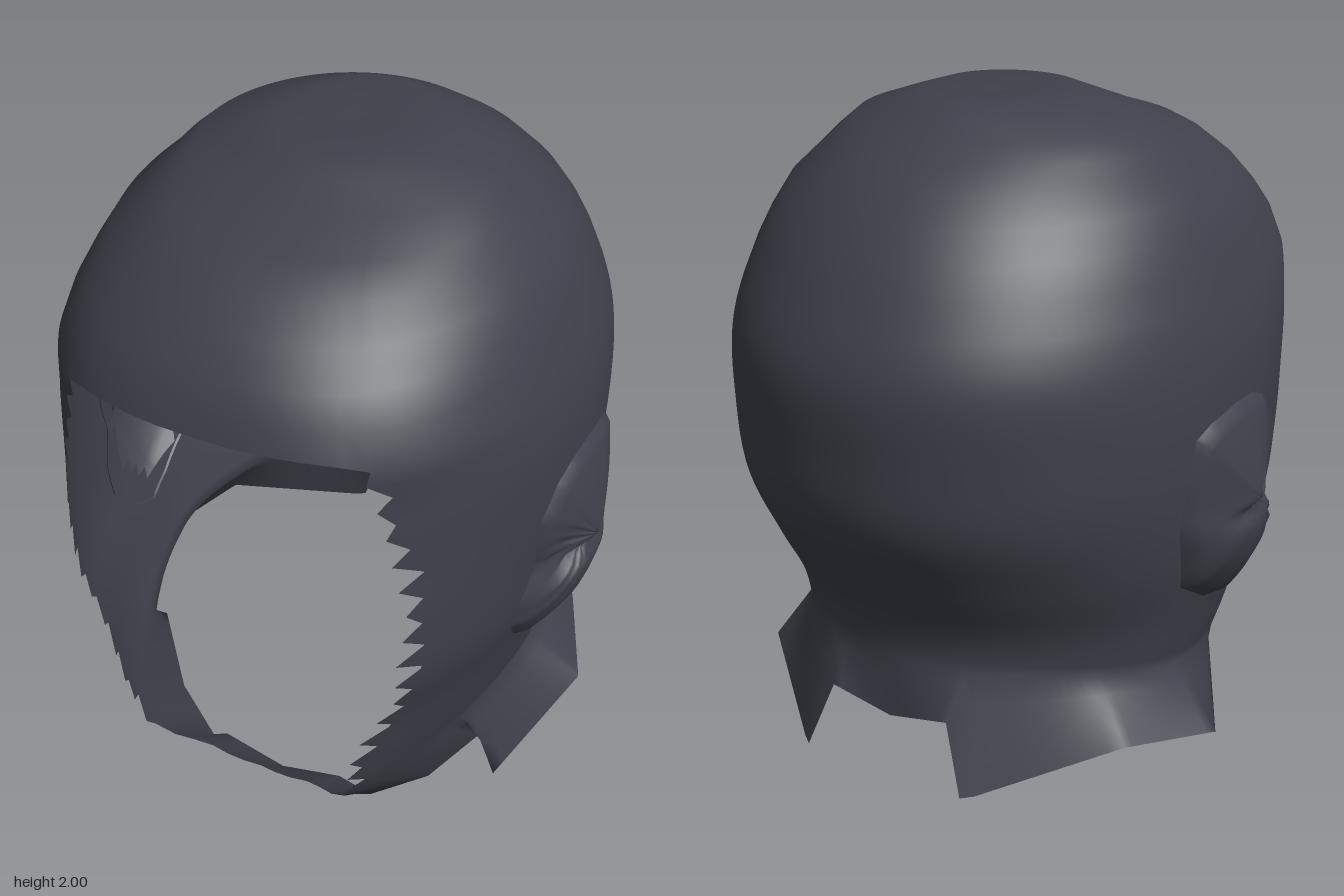
import * as THREE from 'three';

const material = new THREE.MeshStandardMaterial({ color: 0x3e414b, side: THREE.DoubleSide });
const { lerp, radToDeg, smoothstep } = THREE.MathUtils;

// Linear lookup in rows of [key, value, value...] with rising keys
function lookup(table, key) {
  let i = 1;
  while (i < table.length - 1 && key > table[i][0]) i++;
  const a = table[i - 1], b = table[i];
  const t = Math.min(1, Math.max(0, (key - a[0]) / (b[0] - a[0])));
  return a.slice(1).map((v, k) => lerp(v, b[k + 1], t));
}

// The same lookup with a smooth curve through the rows
function smoothLookup(table, key) {
  let i = 1;
  while (i < table.length - 1 && key > table[i][0]) i++;
  const a = table[i - 1], b = table[i];
  const before = table[Math.max(0, i - 2)], after = table[Math.min(table.length - 1, i + 1)];
  const d = b[0] - a[0], t = Math.min(1, Math.max(0, (key - a[0]) / d));
  return a.slice(1).map((v, n) => {
    const k = n + 1;
    const m0 = d * (b[k] - before[k]) / (b[0] - before[0]);
    const m1 = d * (after[k] - a[k]) / (after[0] - a[0]);
    const e = t * t * (3 - 2 * t);
    return lerp(v, b[k], e) + t * (1 - t) * ((1 - t) * m0 - t * m1);
  });
}

// Head sections: y, half width, front depth, back depth, squareness of front and back
const SECTIONS = [
  [0.10, 0.46, 0.50, 0.61, 2, 1.85], [0.17, 0.48, 0.57, 0.61, 1.95, 1.85], [0.27, 0.52, 0.85, 0.605, 1.8, 1.85],
  [0.43, 0.58, 0.92, 0.595, 1.8, 1.85], [0.62, 0.63, 0.93, 0.60, 1.9, 1.9], [0.80, 0.675, 0.97, 0.69, 2, 2],
  [1.00, 0.697, 0.98, 0.795, 2, 2.08], [1.20, 0.71, 0.91, 0.822, 2.1, 2.08], [1.40, 0.70, 0.84, 0.825, 2.35, 2.08],
  [1.56, 0.66, 0.82, 0.765, 2.55, 2.08], [1.69, 0.61, 0.755, 0.69, 2.35, 2.05], [1.77, 0.57, 0.68, 0.63, 2.2, 2],
  [1.84, 0.495, 0.59, 0.56, 2.15, 2], [1.885, 0.455, 0.49, 0.49, 2.1, 2], [1.93, 0.405, 0.345, 0.42, 2, 2],
  [2.00, 0.19, 0.17, 0.28, 2, 2],
];
// Half width of the face opening by height
const OPENING = [[0.27, 0.31], [0.33, 0.345], [0.45, 0.36], [0.6, 0.42], [0.72, 0.475], [0.85, 0.505], [1.05, 0.515],
  [1.2, 0.5], [1.38, 0.45], [1.5, 0.43], [1.56, 0.4]];
// Height of the neck crease by angle from the front
const NECK = [[0, 0.17], [22, 0.19], [32, 0.225], [39, 0.27], [60, 0.35], [90, 0.43], [140, 0.52], [180, 0.55]];
// Torn hem: angle from the front, x, y, z
const HEM = [
  [0, 0, 0.04, 0.44], [25.9, 0.19, 0.09, 0.44], [32.4, 0.27, 0, 0.39], [47.4, 0.42, 0.075, 0.31],
  [67.1, 0.55, 0.22, 0.18], [69.9, 0.59, 0.08, 0.22], [92.5, 0.73, 0.28, -0.08], [123.5, 0.60, 0.33, -0.36],
  [154.5, 0.26, 0.2, -0.65], [157.4, 0.19, 0.4, -0.61], [180, 0, 0.36, -0.605],
];

function shellPoint(phi, y) {
  const [w, front, back, nFront, nBack] = smoothLookup(SECTIONS, y);
  const c = Math.cos(phi), p = 2 / (c > 0 ? nFront : nBack);
  const x = w * Math.pow(Math.abs(Math.sin(phi)), p);
  const z = Math.pow(Math.abs(c), p) * (c > 0 ? front : -back);
  return new THREE.Vector3(x, y, z);
}

function shellX(y, z) {
  const [w, front, back, nFront, nBack] = smoothLookup(SECTIONS, y);
  const n = z > 0 ? nFront : nBack;
  return w * Math.pow(1 - Math.pow(Math.abs(z) / (z > 0 ? front : back), n), 1 / n);
}

function edgeAngle(y, jag = 0) {
  const x = lookup(OPENING, y)[0] + jag;
  const [w, , , nFront] = smoothLookup(SECTIONS, y);
  return Math.asin(Math.pow(x / w, nFront / 2));
}

function makeMesh(name, positions, index) {
  const g = new THREE.BufferGeometry();
  g.setAttribute('position', new THREE.Float32BufferAttribute(positions, 3));
  g.setIndex(index);
  g.computeVertexNormals();
  const mesh = new THREE.Mesh(g, material);
  mesh.name = name;
  return mesh;
}

// Hood: crown, face band with a ragged opening, and flared collar in one skin
function createHood() {
  const FRONT = 6, SIDE = 50, HALF = FRONT + SIDE, COLS = HALF * 2;
  const CROWN = [2, 1.97, 1.93, 1.885, 1.84, 1.77, 1.69, 1.62];
  const BAND = 30, COLLAR = 4;
  const brow = CROWN.length + 1, neck = brow + BAND, last = neck + COLLAR;

  const angleAt = (h, edge) => h <= FRONT ? edge * h / FRONT : lerp(edge, Math.PI, (h - FRONT) / SIDE);

  function vertex(i, column) {
    if (i === 0) return new THREE.Vector3(0, 1.985, -0.05);
    if (i < brow) return shellPoint(angleAt(column, edgeAngle(1.53)), CROWN[i - 1]);
    const inBand = i > brow && i < neck;
    const h = inBand ? Math.max(column, FRONT) : column;
    const t = Math.min(1, (i - brow) / BAND);
    const yEdge = lerp(1.525, 0.27, t);
    const ragged = h === FRONT && inBand;
    const jag = (i % 2 ? 0.02 : -0.018) + 0.006 * Math.sin(i * 2.3);
    const phi = ragged ? edgeAngle(yEdge, jag) : angleAt(h, edgeAngle(yEdge));
    const browY = 1.525 + 0.03 * (1 - Math.pow(Math.min(1, h / FRONT), 4));
    const neckY = ragged ? 0.27 : lookup(NECK, radToDeg(phi))[0];
    const point = shellPoint(phi, lerp(browY, neckY, t));
    if (i > neck) point.lerp(new THREE.Vector3(...lookup(HEM, radToDeg(phi))), (i - neck) / COLLAR);
    return point;
  }

  const positions = [], index = [];
  for (let i = 0; i <= last; i++) {
    for (let j = 0; j < COLS; j++) {
      const p = vertex(i, j <= HALF ? j : COLS - j);
      positions.push(j <= HALF ? p.x : -p.x, p.y, p.z);
    }
  }
  for (let i = 0; i < last; i++) {
    for (let j = 0; j < COLS; j++) {
      const k = (j + 1) % COLS;
      const a = i * COLS + j, b = a + COLS, c = (i + 1) * COLS + k, d = i * COLS + k;
      const inFace = i >= brow && i < neck && (j < FRONT || j >= COLS - FRONT);
      // the skin is open behind each ear cover
      const y = (positions[a * 3 + 1] + positions[c * 3 + 1]) / 2;
      const z = (positions[a * 3 + 2] + positions[c * 3 + 2]) / 2;
      const behindEar = ((z - 0.025) / 0.18) ** 2 + ((y - 0.93) / 0.26) ** 2 < 1;
      if (inFace || behindEar) continue;
      index.push(a, b, c);
      if (i > 0) index.push(a, c, d);
    }
  }
  return makeMesh('hoodShell', positions, index);
}

// Ear cover: a padded patch, peaked in the middle and gathered into creases
const EAR_RIM = [[-0.215, 0.92], [-0.215, 1.06], [-0.195, 1.19], [-0.13, 1.22], [0, 1.24], [0.1, 1.235], [0.18, 1.205],
  [0.245, 1.12], [0.25, 1.03], [0.235, 0.95], [0.28, 0.84], [0.285, 0.75], [0.22, 0.66], [0.1, 0.605], [0, 0.64], [-0.15, 0.73]];

function createEar(side) {
  const RINGS = 12, SEGS = 64, cz = 0.04, cy = 0.96;
  const positions = [], index = [];
  for (let r = 0; r <= RINGS; r++) {
    const f = r / RINGS;
    for (let s = 0; s < SEGS; s++) {
      const q = s / SEGS * EAR_RIM.length, k = Math.floor(q);
      const a = EAR_RIM[k], b = EAR_RIM[(k + 1) % EAR_RIM.length];
      const z = lerp(cz, lerp(a[0], b[0], q - k), f), y = lerp(cy, lerp(a[1], b[1], q - k), f);
      // upper half slopes like a tent, lower lobe is fuller
      const fullness = lerp(2.6, 1.1, smoothstep(y, 0.85, 1));
      const puff = 0.08 * (1 - Math.pow(f, fullness));
      const gather = Math.exp(-((z - 0.19) ** 2 + (y - 0.95) ** 2) / 0.01);
      const fold = Math.exp(-(((y - 0.93) / 0.022) ** 2)) * smoothstep(z, -0.2, 0.08);
      const crease = (0.014 * gather * Math.sin(s * 1.9) - 0.022 * gather - 0.03 * fold) * (1 - f * f);
      const x = shellX(y, z) + puff + crease + (f < 1 ? 0.012 : -0.005);
      positions.push(side * x, y, z);
    }
  }
  for (let r = 0; r < RINGS; r++) {
    for (let s = 0; s < SEGS; s++) {
      const a = r * SEGS + s, d = r * SEGS + (s + 1) % SEGS, b = a + SEGS, c = d + SEGS;
      if (side > 0) index.push(a, b, c, a, c, d);
      else index.push(a, c, b, a, d, c);
    }
  }
  return makeMesh(side > 0 ? 'leftEarCover' : 'rightEarCover', positions, index);
}

export function createModel() {
  const model = new THREE.Group();
  model.name = 'hood';
  model.add(createHood(), createEar(1), createEar(-1));
  return model;
}
